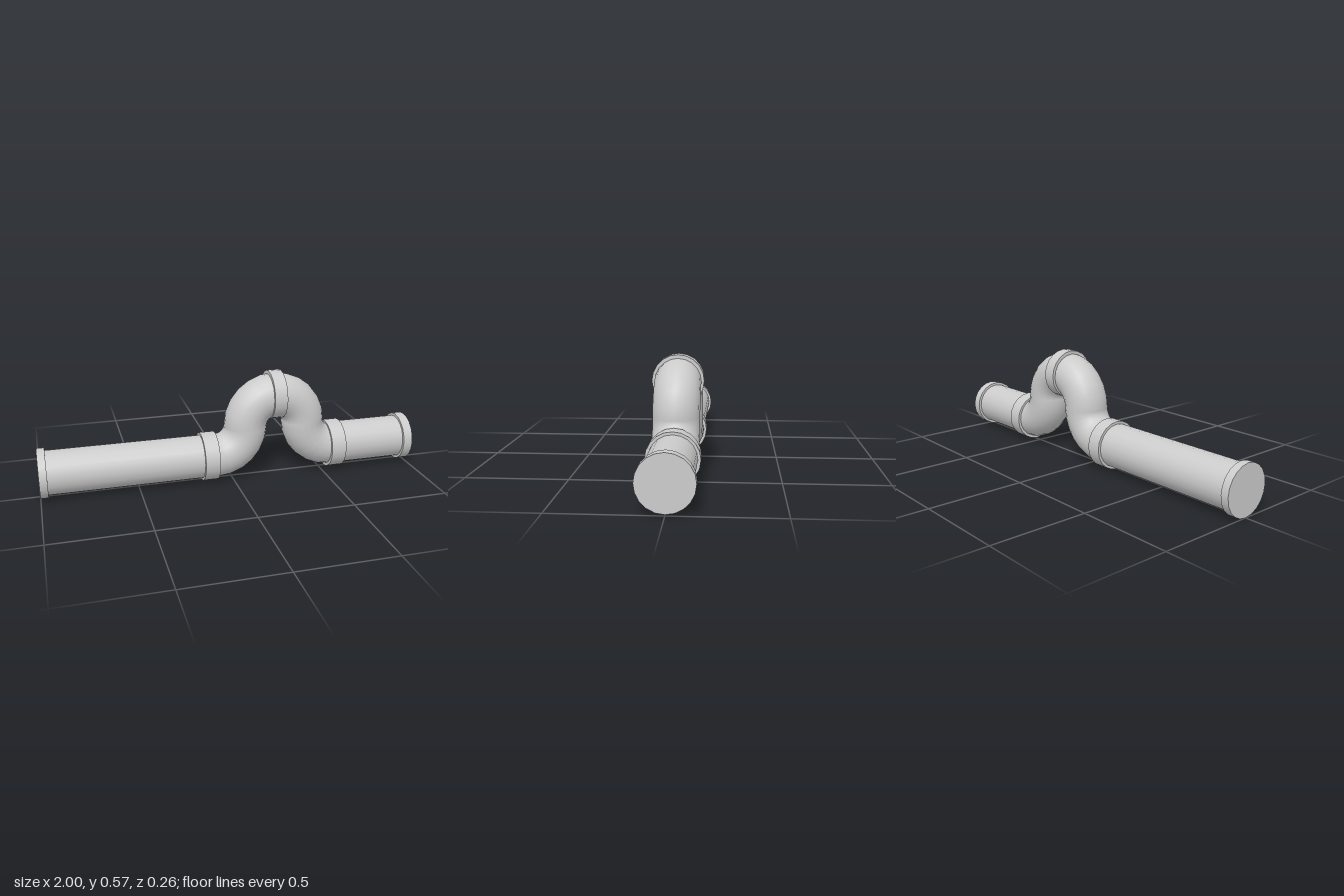
import * as THREE from 'three';

const SIDES = 20;
const PIPE_R = 0.114;
const COLLAR_R = 0.128;

// Two quarter bends joined into one S, level at both ends
class SBend extends THREE.Curve {
  constructor(x0, y0, x1, y1) {
    super();
    Object.assign(this, { x0, y0, x1, y1 });
  }
  getPoint(t, target = new THREE.Vector3()) {
    const { x0, y0, x1, y1 } = this;
    const rx = (x1 - x0) / 2, ry = (y1 - y0) / 2;
    const a = t * Math.PI;
    if (t <= 0.5) return target.set(x0 + rx * Math.sin(a), y0 + ry * (1 - Math.cos(a)), 0);
    const b = a - Math.PI / 2;
    return target.set(x1 - rx * Math.cos(b), y0 + ry + ry * Math.sin(b), 0);
  }
}

export function createModel() {
  const group = new THREE.Group();
  const material = new THREE.MeshStandardMaterial({ color: 0xcccccc });

  const add = (name, geometry) => {
    const mesh = new THREE.Mesh(geometry, material);
    mesh.name = name;
    group.add(mesh);
    return mesh;
  };

  // Capped cylinder lying along x
  const cylinder = (name, radius, xa, xb, y) => {
    const geometry = new THREE.CylinderGeometry(radius, radius, xb - xa, SIDES);
    geometry.rotateZ(-Math.PI / 2);
    add(name, geometry).position.set((xa + xb) / 2, y, 0);
  };

  const leftY = 0.128, topY = 0.442, rightY = 0.133;

  // Straight runs
  cylinder('longPipe', PIPE_R, -0.98, -0.08, leftY);
  cylinder('shortPipe', PIPE_R, 0.55, 0.98, rightY);

  // Hump made of two S bends
  const bend = (name, ...ends) =>
    add(name, new THREE.TubeGeometry(new SBend(...ends), 12, PIPE_R, SIDES, false));
  bend('risingBend', -0.08, leftY, 0.236, topY);
  bend('fallingBend', 0.236, topY, 0.552, rightY);

  // Collars over the joints and ends
  cylinder('longPipeEndCollar', COLLAR_R, -1, -0.96, leftY);
  cylinder('longPipeJointCollar', COLLAR_R, -0.165, -0.087, leftY);
  cylinder('topCollar', COLLAR_R, 0.202, 0.27, topY);
  cylinder('shortPipeJointCollar', COLLAR_R, 0.53, 0.61, rightY);
  cylinder('shortPipeEndCollar', COLLAR_R, 0.95, 1, rightY);

  return group;
}
